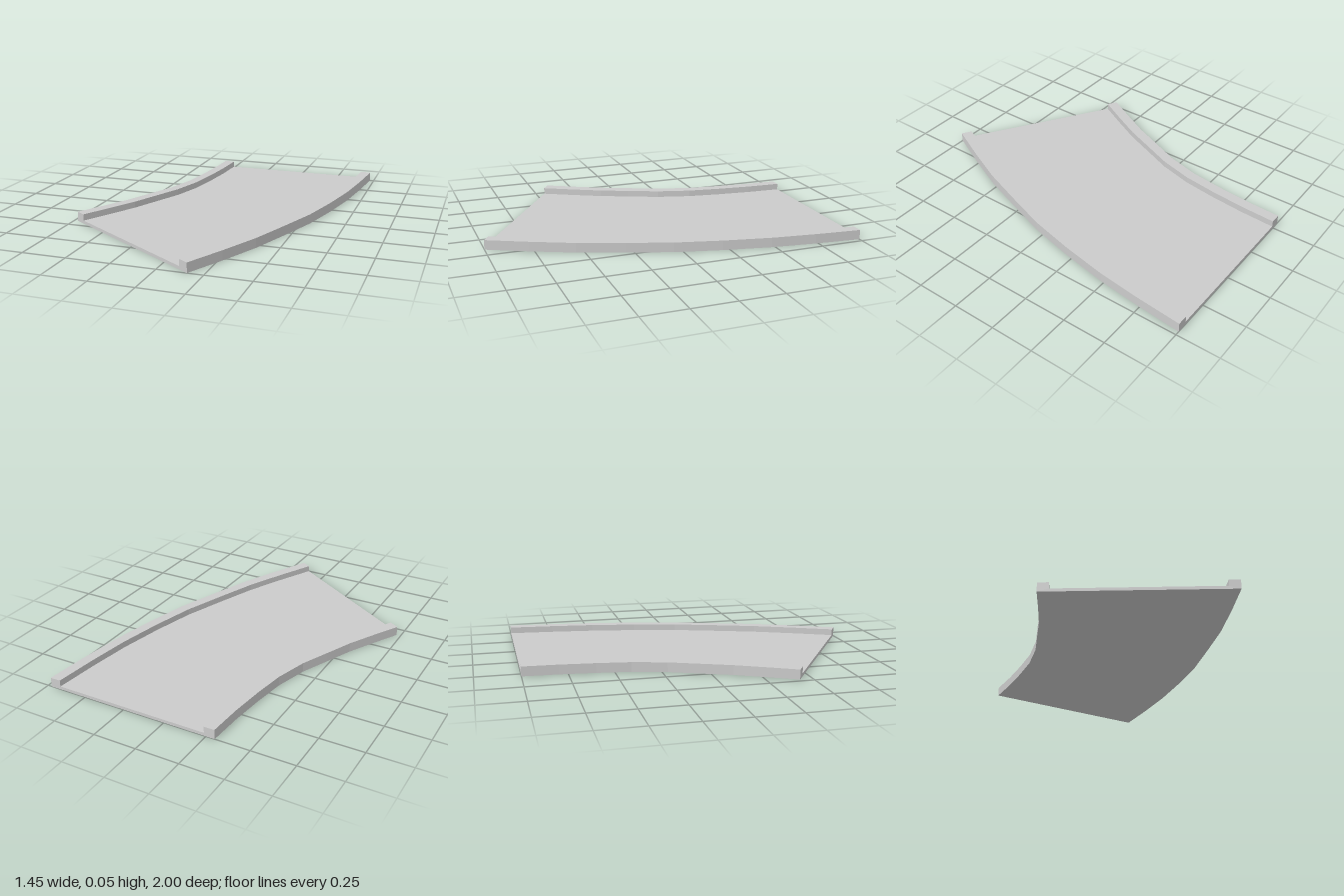
import * as THREE from 'three';

// Plan curves [x, z] of the two sides, from the back end to the front end
const INNER = [[-0.30, -1], [-0.31, -0.80], [-0.33, -0.60], [-0.357, -0.41], [-0.41, -0.22],
  [-0.484, -0.05], [-0.553, 0.11], [-0.638, 0.27], [-0.725, 0.427]];
const OUTER = [[0.725, -1], [0.70, -0.735], [0.668, -0.48], [0.616, -0.21], [0.553, 0.05],
  [0.468, 0.296], [0.378, 0.545], [0.272, 0.778], [0.163, 1]];

const FLOOR = 0.018, WALL = 0.055, RIM = 0.06;

// Channel cross-section: x is the fraction across the track, y the height
const PROFILE = [[0, 0], [1, 0], [1, WALL], [1 - RIM, WALL], [1 - RIM, FLOOR],
  [RIM, FLOOR], [RIM, WALL], [0, WALL]].map(([t, y]) => new THREE.Vector2(t, y));

// Sweep the profile between the two side curves and close both ends
function sweepBetween(inner, outer, profile) {
  const n = profile.length, last = (inner.length - 1) * n;
  const positions = [], index = [];
  inner.forEach(([x, z], i) => {
    const [ox, oz] = outer[i];
    for (const p of profile) positions.push(x + (ox - x) * p.x, p.y, z + (oz - z) * p.x);
  });
  for (let r = 0; r < last; r += n) {
    for (let j = 0; j < n; j++) {
      const k = (j + 1) % n;
      const a = r + j, b = r + k, c = r + n + k, d = r + n + j;
      index.push(a, b, c, a, c, d);
    }
  }
  for (const [a, b, c] of THREE.ShapeUtils.triangulateShape(profile, [])) {
    index.push(last + a, last + b, last + c, a, c, b);
  }
  const geometry = new THREE.BufferGeometry();
  geometry.setAttribute('position', new THREE.Float32BufferAttribute(positions, 3));
  geometry.setIndex(index);
  const flat = geometry.toNonIndexed();
  flat.computeVertexNormals();
  return flat;
}

export function createModel() {
  const group = new THREE.Group();
  group.name = 'curvedTrackSection';
  const material = new THREE.MeshStandardMaterial({ color: 0xcccccc, flatShading: true });

  // Floor and both side walls as one solid channel
  const channel = new THREE.Mesh(sweepBetween(INNER, OUTER, PROFILE), material);
  channel.name = 'trackFloorAndWalls';
  group.add(channel);
  return group;
}
